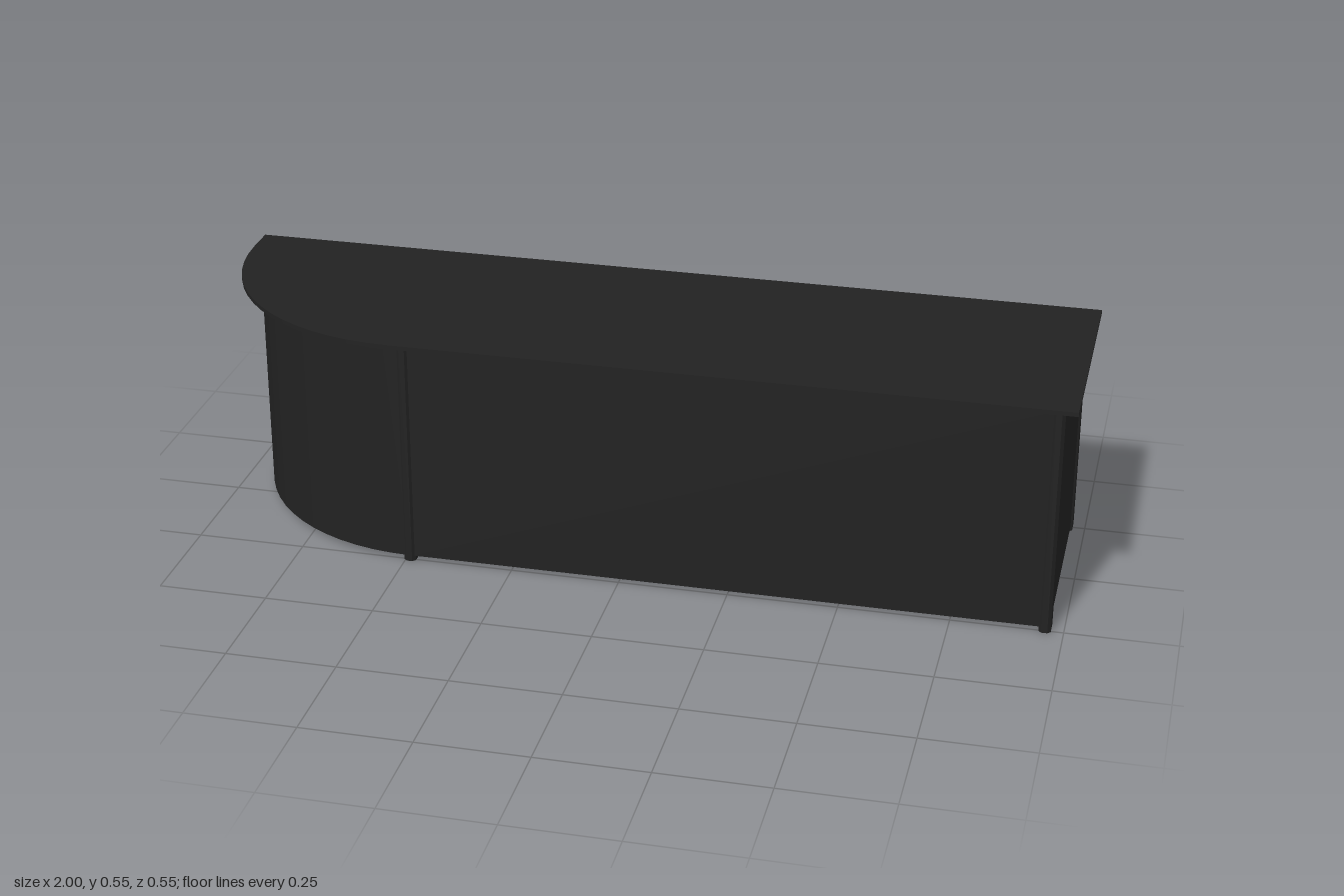
import * as THREE from 'three';

const TOP = 0.545, UNDER = 0.535, POST_TOP = 0.533, PANEL_BOTTOM = 0.012;

export function createModel() {
  const group = new THREE.Group();
  const mat = new THREE.MeshStandardMaterial({ color: 0x222222 });

  // Extrudes a plan outline (shape x = world x, shape y = -z) between two heights
  const slab = (name, shape, y0, y1, curveSegments = 8) => {
    const geo = new THREE.ExtrudeGeometry(shape, { depth: y1 - y0, bevelEnabled: false, curveSegments });
    geo.rotateX(-Math.PI / 2);
    const mesh = new THREE.Mesh(geo, mat);
    mesh.name = name;
    mesh.position.y = y0;
    group.add(mesh);
  };

  const panel = (name, x0, x1, z0, z1) => {
    const mesh = new THREE.Mesh(new THREE.BoxGeometry(x1 - x0, UNDER - PANEL_BOTTOM, z1 - z0), mat);
    mesh.name = name;
    mesh.position.set((x0 + x1) / 2, (UNDER + PANEL_BOTTOM) / 2, (z0 + z1) / 2);
    group.add(mesh);
  };

  // Upright with slightly chamfered corners
  const post = (name, x0, x1, z0, z1, c = 0.007) => {
    const s = new THREE.Shape([
      [x0 + c, -z1], [x1 - c, -z1], [x1, -z1 + c], [x1, -z0 - c],
      [x1 - c, -z0], [x0 + c, -z0], [x0, -z0 - c], [x0, -z1 + c],
    ].map(([x, y]) => new THREE.Vector2(x, y)));
    slab(name, s, 0, POST_TOP);
  };

  // Counter top with one quarter-round end
  const top = new THREE.Shape();
  top.moveTo(-0.52, -0.277);
  top.lineTo(1, -0.277);
  top.lineTo(1, 0.277);
  top.lineTo(-1, 0.277);
  top.lineTo(-1, 0.203);
  top.absarc(-0.52, 0.203, 0.48, Math.PI, Math.PI * 1.5, false);
  slab('counterTop', top, UNDER, TOP);

  // Straight front and end panels
  panel('frontPanel', -0.485, 0.955, 0.238, 0.255);
  panel('endPanel', 0.951, 0.968, -0.26, 0.245);

  // Curved panel, concentric with the rounded end of the top
  const curved = new THREE.Shape();
  curved.absarc(-0.49, 0.21, 0.465, Math.PI, Math.PI * 1.5, false);
  curved.absarc(-0.49, 0.21, 0.448, Math.PI * 1.5, Math.PI, true);
  slab('curvedPanel', curved, PANEL_BOTTOM, UNDER);
  panel('curvedPanelEnd', -0.955, -0.938, -0.26, -0.21);

  // Posts at the corners and where the curve begins
  post('frontCornerPost', 0.945, 0.972, 0.21, 0.26);
  post('frontMiddlePost', -0.503, -0.476, 0.21, 0.26);
  post('rearEndPost', 0.945, 0.972, -0.277, -0.228);
  post('rearCurvePost', -0.96, -0.933, -0.277, -0.228);

  return group;
}
